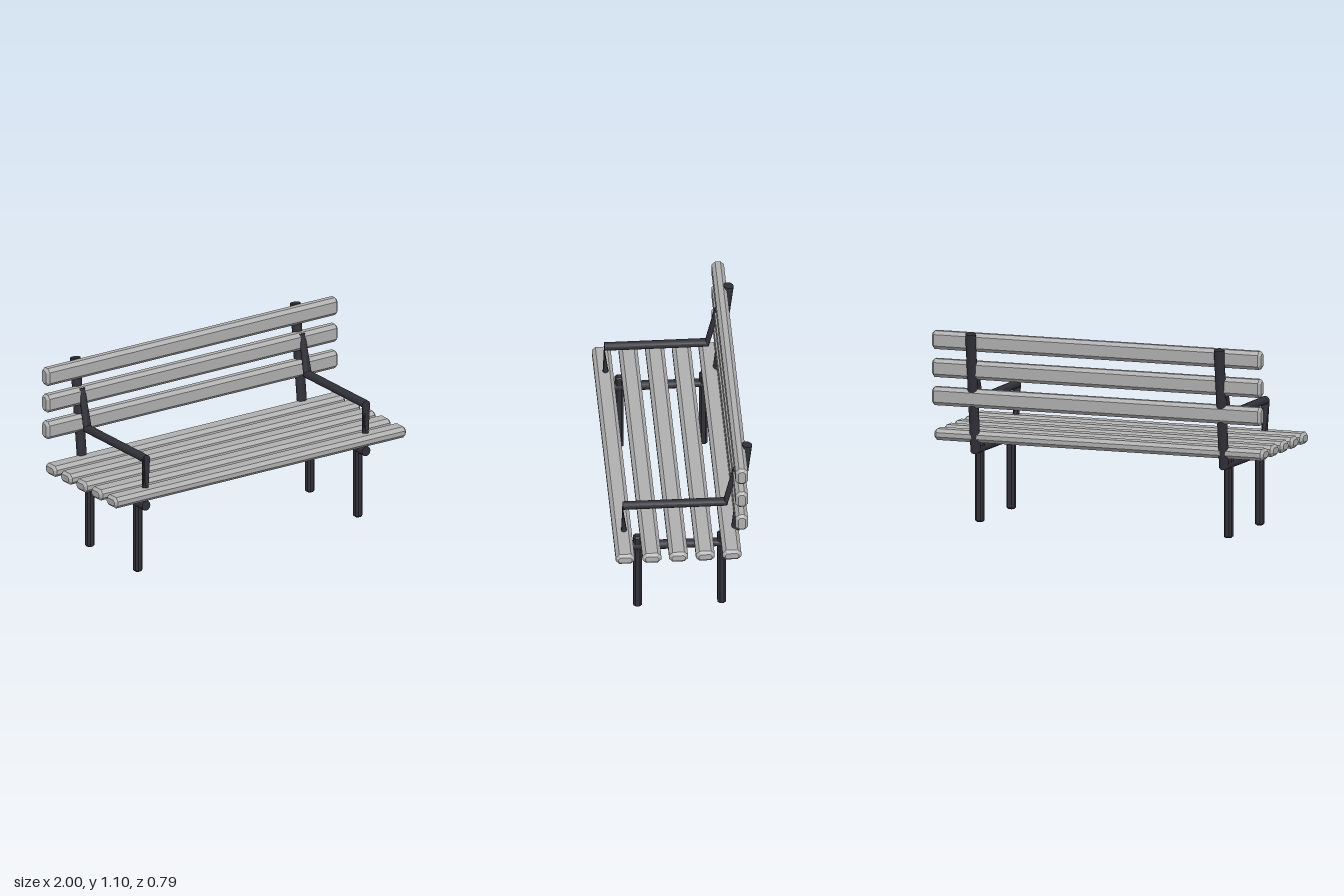
import * as THREE from 'three';
import { toCreasedNormals } from 'three/addons/utils/BufferGeometryUtils.js';

// Bar with chamfered edges and bevelled ends, centred, running along z
function bar(w, h, length, chamfer, bevel) {
  const x = w / 2, y = h / 2, c = chamfer;
  const shape = new THREE.Shape([
    [-x + c, -y], [x - c, -y], [x, -y + c], [x, y - c],
    [x - c, y], [-x + c, y], [-x, y - c], [-x, -y + c],
  ].map(([a, b]) => new THREE.Vector2(a, b)));
  const geo = new THREE.ExtrudeGeometry(shape, {
    depth: length - 2 * bevel, bevelEnabled: true, bevelSegments: 1,
    bevelThickness: bevel, bevelSize: bevel, bevelOffset: -bevel,
  });
  geo.translate(0, 0, bevel - length / 2);
  return toCreasedNormals(geo, 0.5);
}

// Capped tube through rings: [z, y, half-vector z, half-vector y, half width in x]
function loft(rings, sides = 12) {
  const pos = [], index = [];
  for (const [z, y, uz, uy, rx] of rings) {
    for (let j = 0; j < sides; j++) {
      const a = (j / sides) * Math.PI * 2, s = Math.sin(a);
      pos.push(rx * Math.cos(a), y + uy * s, z + uz * s);
    }
  }
  for (let i = 0; i < rings.length - 1; i++) {
    for (let j = 0; j < sides; j++) {
      const a = i * sides + j, b = i * sides + (j + 1) % sides;
      index.push(a, a + sides, b, b, a + sides, b + sides);
    }
  }
  const end = (rings.length - 1) * sides;
  for (let j = 1; j < sides - 1; j++) {
    index.push(0, j, j + 1, end, end + j + 1, end + j);
  }
  const geo = new THREE.BufferGeometry();
  geo.setAttribute('position', new THREE.Float32BufferAttribute(pos, 3));
  geo.setIndex(index);
  return toCreasedNormals(geo, 0.75);
}

export function createModel() {
  const bench = new THREE.Group();
  bench.name = 'bench';
  const slatGrey = new THREE.MeshStandardMaterial({ color: 0xb0b0b0 });
  slatGrey.name = 'slatGrey';
  const darkMetal = new THREE.MeshStandardMaterial({ color: 0x303038 });
  darkMetal.name = 'darkMetal';

  const add = (parent, name, geo, mat, x, y, z) => {
    const mesh = new THREE.Mesh(geo, mat);
    mesh.name = name;
    mesh.position.set(x, y, z);
    parent.add(mesh);
  };

  // Five seat slats, front to back
  const seatGeo = bar(0.106, 0.065, 2, 0.02, 0.015).rotateY(Math.PI / 2);
  for (let i = 0; i < 5; i++) {
    add(bench, 'seatSlat', seatGeo, slatGrey, 0, 0.497, 0.34 - i * 0.151);
  }

  // Three backrest slats
  const backGeo = bar(0.07, 0.105, 2, 0.02, 0.015).rotateY(Math.PI / 2);
  for (const y of [0.722, 0.883, 1.043]) {
    add(bench, 'backSlat', backGeo, slatGrey, 0, y, -0.319);
  }

  const legGeo = bar(0.048, 0.048, 0.49, 0.012, 0.008).rotateX(-Math.PI / 2);

  // Seat rail bending up into the back post
  const railGeo = loft([
    [0.34, 0.42, 0, 0.03, 0.028],
    [-0.288, 0.42, 0.021, 0.021, 0.03],
    [-0.325, 0.74, 0.026, 0.003, 0.03],
    [-0.365, 1.095, 0.029, 0.004, 0.03],
  ]);

  // Armrest: flattened upright, level arm, rear strut to the backrest
  const armGeo = loft([
    [0.329, 0.49, 0.02, 0, 0.016],
    [0.338, 0.702, 0.001, 0.023, 0.027],
    [-0.243, 0.702, 0.009, 0.023, 0.028],
    [-0.3, 0.93, 0.017, 0.003, 0.018],
  ]);

  // Metal frame on each side
  for (const side of [-1, 1]) {
    const frame = new THREE.Group();
    frame.name = side < 0 ? 'rightFrame' : 'leftFrame';
    frame.position.x = side * 0.755;
    add(frame, 'frontLeg', legGeo, darkMetal, 0, 0.245, 0.255);
    add(frame, 'backLeg', legGeo, darkMetal, 0, 0.245, -0.221);
    add(frame, 'railAndPost', railGeo, darkMetal, 0, 0, 0);
    add(frame, 'armrest', armGeo, darkMetal, 0, 0, 0);
    bench.add(frame);
  }
  return bench;
}
